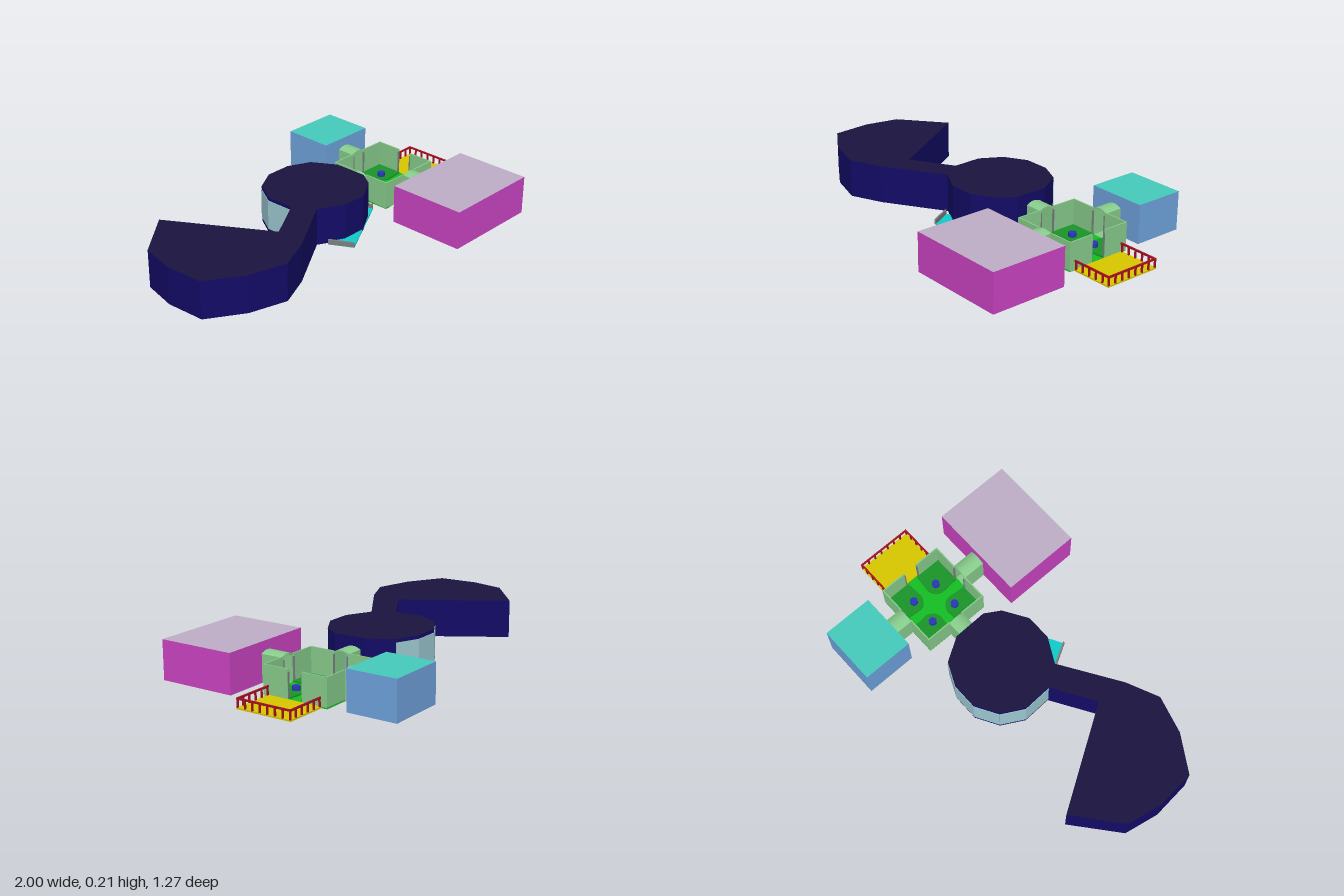
import * as THREE from 'three';

const mat = (color) => new THREE.MeshStandardMaterial({ color, flatShading: true, side: THREE.DoubleSide });
const navyWall = mat(0x130b66), navyRoof = mat(0x1b1440), glass = mat(0x9cc8d0);
const pinkWall = mat(0xcc44c4), pinkRoof = mat(0xbfadc7), blueWall = mat(0x6fa3dd), tealRoof = mat(0x46ccbd);
const paleGreen = mat(0x88cc8c), green = mat(0x1a962a), brightGreen = mat(0x14c022);
const blue = mat(0x2838b8), yellow = mat(0xd8c800), red = mat(0xa81020), cyan = mat(0x10cccc);
const grey = mat(0x7c8080), skyBlue = mat(0x8ab0cc), orange = mat(0xe8a020);

function add(parent, name, geometry, material, x = 0, y = 0, z = 0, ry = 0) {
  const mesh = new THREE.Mesh(geometry, material);
  mesh.name = name;
  mesh.position.set(x, y, z);
  mesh.rotation.y = ry;
  parent.add(mesh);
  return mesh;
}

// Box given by its limits
function block(parent, name, material, x0, x1, y0, y1, z0, z1) {
  return add(parent, name, new THREE.BoxGeometry(x1 - x0, y1 - y0, z1 - z0), material,
    (x0 + x1) / 2, (y0 + y1) / 2, (z0 + z1) / 2);
}

// Upright prism from a plan outline of [x, z] points
function prism(outline, height) {
  const shape = new THREE.Shape(outline.map(([x, z]) => new THREE.Vector2(x, -z)));
  return new THREE.ExtrudeGeometry(shape, { depth: height, bevelEnabled: false }).rotateX(-Math.PI / 2);
}

// Outline with straight sides and a shallow arched top
function arch(target, halfWidth, bottom, spring, peak) {
  target.moveTo(-halfWidth, bottom);
  target.lineTo(halfWidth, bottom);
  target.lineTo(halfWidth, spring);
  target.quadraticCurveTo(0, 2 * peak - spring, -halfWidth, spring);
  target.closePath();
  return target;
}

function longHall() {
  const g = new THREE.Group();
  g.name = 'longHall';
  const outline = [
    [-0.733, -0.37], [-0.963, -0.18], [-1, 0], [-0.984, 0.205], [-0.8, 0.32], [-0.605, 0.375],
    [-0.435, 0.3], [-0.13, 0.107], [0, 0.176], [0.136, 0.176], [0.26, 0.1], [0.31, 0.02],
    [0.307, -0.16], [0.232, -0.283], [0.115, -0.337], [-0.024, -0.337], [-0.14, -0.27],
    [-0.205, -0.155], [-0.2, 0], [-0.42, 0.134]
  ];
  const body = add(g, 'hallBody', prism(outline, 0.2), navyRoof, 0, 0.01, 0);
  body.material = [navyRoof, navyWall];

  // Window band round the back of the drum
  for (let i = 13; i < 18; i++) {
    const [x0, z0] = outline[i], [x1, z1] = outline[i + 1];
    add(g, 'windowPanel', new THREE.BoxGeometry(Math.hypot(x1 - x0, z1 - z0), 0.16, 0.006), glass,
      (x0 + x1) / 2, 0.112, (z0 + z1) / 2, -Math.atan2(z1 - z0, x1 - x0));
  }

  // Low porch with a plate at each end
  const porch = new THREE.Group();
  porch.name = 'porch';
  porch.position.set(0.124, 0, 0.105);
  porch.rotation.y = 0.506;
  block(porch, 'porchFloor', cyan, -0.21, 0.21, 0.012, 0.02, -0.067, 0.067);
  for (const s of [-1, 1]) {
    add(porch, 'porchEnd', new THREE.BoxGeometry(0.009, 0.026, 0.134), grey, s * 0.212, 0.03, 0);
  }
  g.add(porch);
  return g;
}

function sideBlock(name, wall, roof, x0, x1, z0, z1) {
  const box = block(new THREE.Group(), name, wall, x0, x1, 0.005, 0.21, z0, z1);
  box.material = [wall, wall, roof, roof, wall, wall];
  return box;
}

// Arched tunnel running along z from its origin
function corridor(length) {
  const shape = arch(new THREE.Shape(), 0.044, 0.005, 0.15, 0.163);
  shape.holes.push(arch(new THREE.Path(), 0.038, 0.011, 0.144, 0.157));
  return new THREE.ExtrudeGeometry(shape, { depth: length, bevelEnabled: false, curveSegments: 8 });
}

function centralCourt() {
  const g = new THREE.Group();
  g.name = 'centralCourt';
  g.position.set(0.585, 0, -0.085);
  const h = 0.183;

  block(g, 'courtFloor', brightGreen, -h, h, 0.004, 0.012, -h, h);

  // Four lawns, hollowed towards the middle, each with a blue post
  const lawn = new THREE.Shape();
  lawn.moveTo(0.022, 0.075);
  lawn.quadraticCurveTo(0.032, 0.032, 0.075, 0.022);
  lawn.lineTo(0.176, 0.03);
  lawn.lineTo(0.176, 0.176);
  lawn.lineTo(0.03, 0.176);
  lawn.closePath();
  const lawnGeo = new THREE.ExtrudeGeometry(lawn, { depth: 0.008, bevelEnabled: false }).rotateX(-Math.PI / 2);
  for (let i = 0; i < 4; i++) {
    const a = i * Math.PI / 2;
    add(g, 'lawn', lawnGeo, green, 0, 0.012, 0, a);
    add(g, 'post', new THREE.CylinderGeometry(0.02, 0.02, 0.03, 16), blue,
      0.106 * Math.cos(a + Math.PI / 4), 0.027, 0.106 * Math.sin(a + Math.PI / 4));
  }

  // Walls, each with a doorway in the middle
  const wall = new THREE.Shape();
  wall.moveTo(-h, 0.004);
  for (const [x, y] of [[-0.04, 0.004], [-0.04, 0.155], [-h, 0.155]]) wall.lineTo(x, y);
  wall.closePath();
  const wallGeo = new THREE.ExtrudeGeometry(wall, { depth: 0.007, bevelEnabled: false });
  for (let i = 0; i < 4; i++) {
    const side = new THREE.Group();
    side.name = 'courtWall';
    side.rotation.y = i * Math.PI / 2;
    add(side, 'wallHalf', wallGeo, paleGreen, 0, 0, h - 0.007);
    add(side, 'wallHalf', wallGeo, paleGreen, 0, 0, h, Math.PI);
    // Wall half turned about y so it fills the other side of the doorway
    for (const s of [-1, 1]) block(side, 'doorJamb', grey, s * 0.04 - 0.002, s * 0.04 + 0.002, 0.01, 0.14, h - 0.012, h - 0.001);
    g.add(side);
  }

  // Passages to the three neighbouring buildings
  add(g, 'frontPassage', corridor(0.122), paleGreen, 0, 0, h - 0.002);
  add(g, 'backPassage', corridor(0.105), paleGreen, 0, 0, -h + 0.002, Math.PI);
  add(g, 'sidePassage', corridor(0.096), paleGreen, -h + 0.002, 0, 0, -Math.PI / 2);
  block(g, 'passageDoor', skyBlue, -0.274, -0.268, 0.012, 0.154, -0.04, 0.04);
  block(g, 'doorPlaque', blue, -0.268, -0.263, 0.122, 0.146, -0.012, 0.012);
  add(g, 'plaqueDisc', new THREE.CylinderGeometry(0.007, 0.007, 0.003, 12).rotateZ(Math.PI / 2), orange, -0.262, 0.134, 0);
  return g;
}

function terrace() {
  const g = new THREE.Group();
  g.name = 'terrace';
  const x0 = 0.77, x1 = 0.995, z0 = -0.237, z1 = 0.07, t = 0.008;
  block(g, 'deck', yellow, x0, x1, 0.004, 0.012, z0, z1);
  block(g, 'outerRail', red, x1 - t, x1, 0.05, 0.059, z0, z1);
  for (let i = 0; i <= 7; i++) {
    const z = z0 + t / 2 + (z1 - z0 - t) * i / 7;
    block(g, 'railPost', red, x1 - t, x1, 0.01, 0.052, z - t / 2, z + t / 2);
  }
  for (const z of [z0, z1 - t]) {
    block(g, 'sideRail', red, x0, x1, 0.05, 0.059, z, z + t);
    for (let i = 0; i < 5; i++) {
      const x = x0 + 0.004 + i * 0.0435;
      block(g, 'railPost', red, x, x + t, 0.01, 0.052, z, z + t);
    }
  }
  return g;
}

export function createModel() {
  const model = new THREE.Group();
  model.name = 'buildingComplex';
  model.add(
    longHall(),
    sideBlock('frontBlock', pinkWall, pinkRoof, 0.323, 0.862, 0.218, 0.635),
    sideBlock('backBlock', blueWall, tealRoof, 0.437, 0.755, -0.635, -0.365),
    centralCourt(),
    terrace()
  );
  return model;
}
